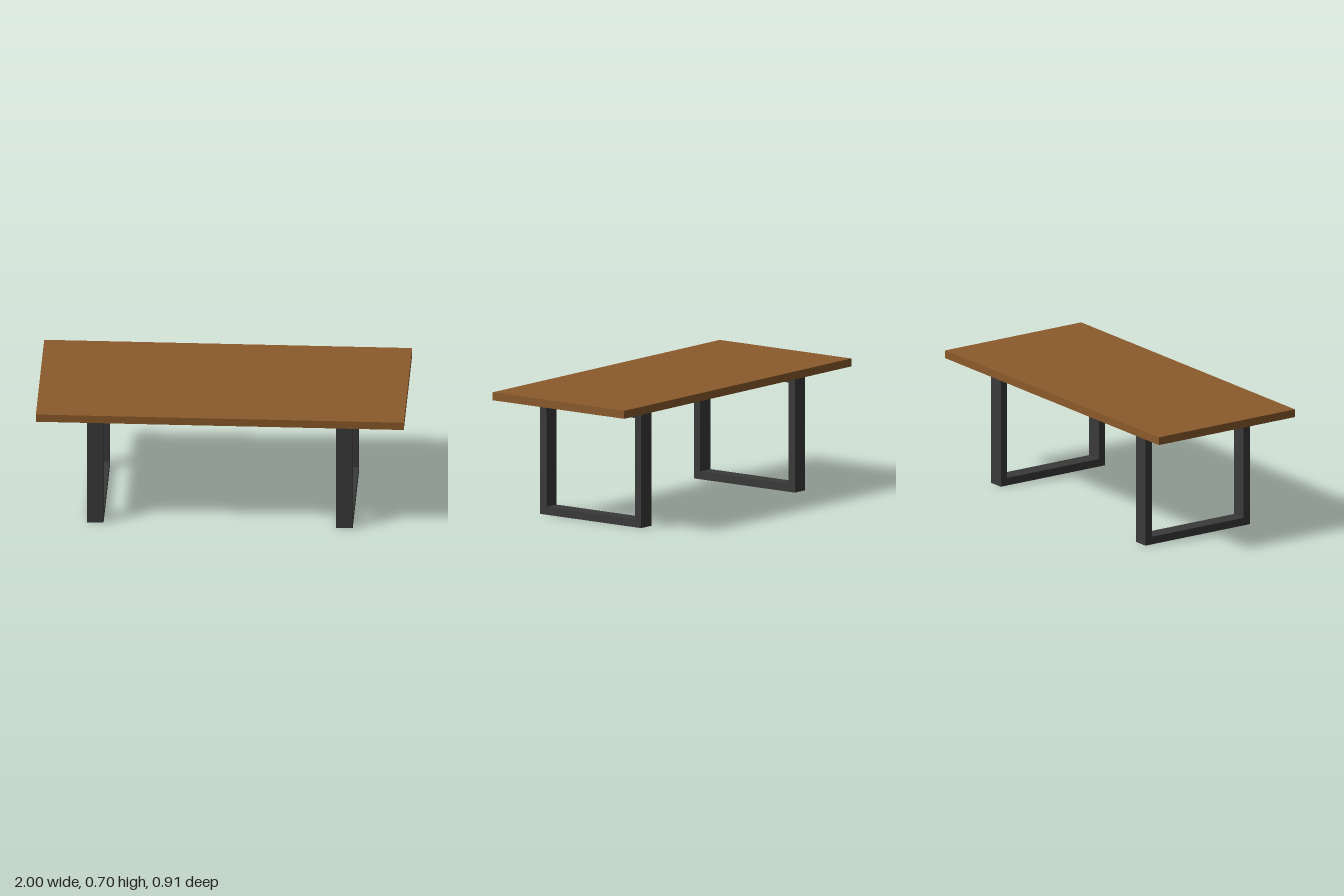
import * as THREE from 'three';

export function createModel() {
  const wood = new THREE.MeshStandardMaterial({ name: 'brown wood', color: 0x8b5a2b });
  const metal = new THREE.MeshStandardMaterial({ name: 'dark metal', color: 0x3a3a3a });
  const table = new THREE.Group();
  table.name = 'table';

  // Flat slab top
  const top = new THREE.Mesh(new THREE.BoxGeometry(2, 0.044, 0.906), wood);
  top.name = 'tabletop';
  top.position.y = 0.678;
  table.add(top);

  // Rectangular frame with an opening, drawn in the z-y plane and extruded along x
  const rect = (Type, halfWidth, bottom, height) => new Type([
    new THREE.Vector2(-halfWidth, bottom),
    new THREE.Vector2(halfWidth, bottom),
    new THREE.Vector2(halfWidth, height),
    new THREE.Vector2(-halfWidth, height),
  ]);
  const frame = rect(THREE.Shape, 0.348, 0, 0.655);
  frame.holes.push(rect(THREE.Path, 0.305, 0.043, 0.603));
  const width = 0.09;
  const frameGeometry = new THREE.ExtrudeGeometry(frame, { depth: width, bevelEnabled: false });
  frameGeometry.translate(0, 0, -width / 2).rotateY(Math.PI / 2);

  // One frame leg near each end
  for (const [name, x] of [['rightLegFrame', -0.682], ['leftLegFrame', 0.672]]) {
    const leg = new THREE.Mesh(frameGeometry, metal);
    leg.name = name;
    leg.position.x = x;
    table.add(leg);
  }
  return table;
}
